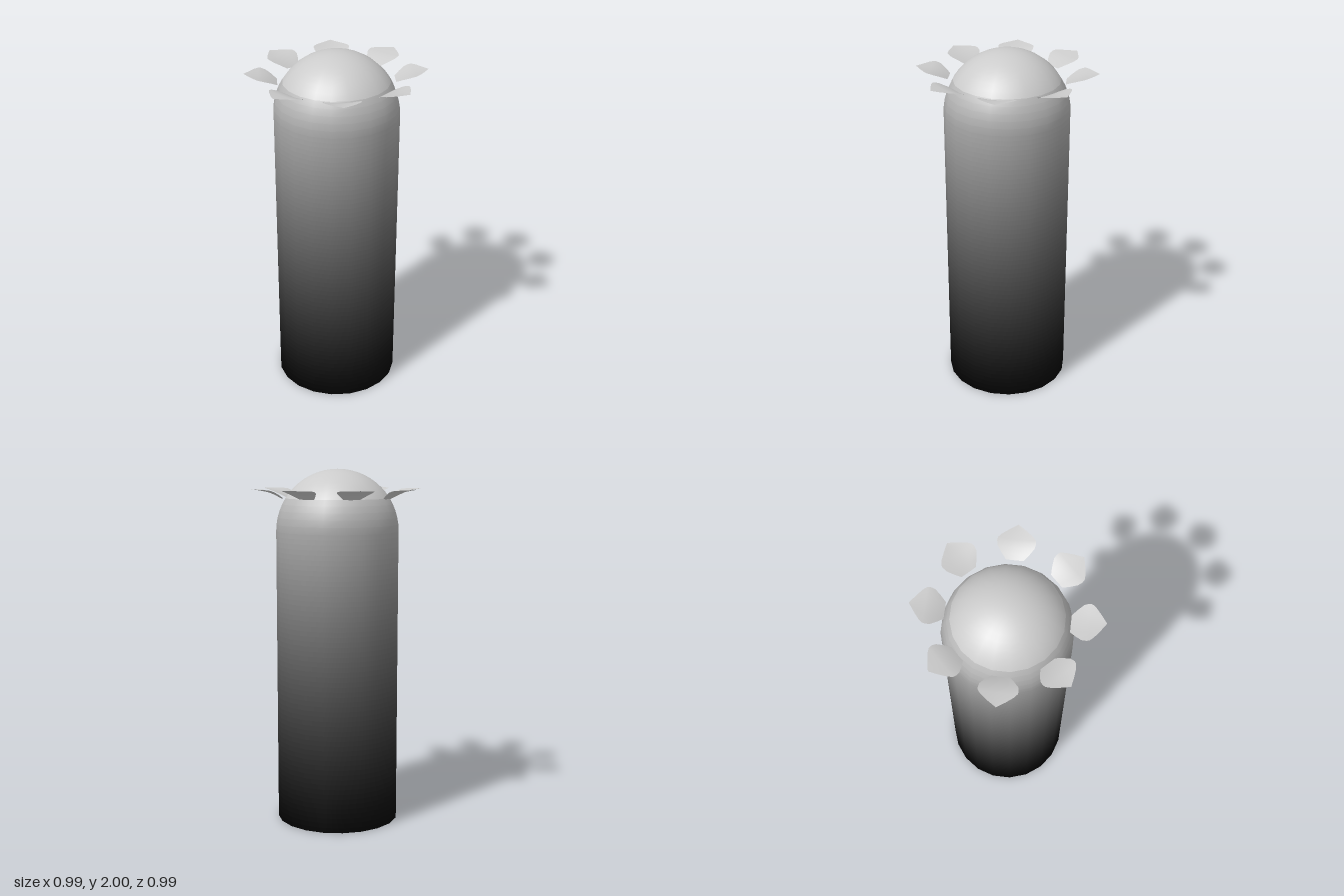
import * as THREE from 'three';

const R = 0.345, HEIGHT = 2, SHOULDER = HEIGHT - R;
const SIDES = 20, DOME_ROWS = 14, SHAFT_ROWS = 60, PETALS = 8;

// Grey that fades from black at the ground to light grey at the top
function fadedGrey(y) {
  const v = 0.8 * y / HEIGHT;
  const color = new THREE.Color().setRGB(v, v, v, THREE.SRGBColorSpace);
  return new THREE.MeshStandardMaterial({ color, side: THREE.DoubleSide });
}

// Radius, height and slope of the body outline at each row, from the top down
function outline(row) {
  if (row <= DOME_ROWS) {
    const a = (1 - row / DOME_ROWS) * Math.PI / 2;
    return { r: R * Math.cos(a), y: SHOULDER + R * Math.sin(a), a };
  }
  return { r: R, y: SHOULDER * (1 - (row - DOME_ROWS) / SHAFT_ROWS), a: 0 };
}

// Hollow tube with a hemispherical top, open below: a sheet rolled around y,
// with one shade per row
function makeBody() {
  const rows = DOME_ROWS + SHAFT_ROWS;
  const geo = new THREE.PlaneGeometry(1, 1, SIDES, rows);
  const pos = geo.attributes.position, normal = geo.attributes.normal;
  for (let i = 0; i < pos.count; i++) {
    const { r, y, a } = outline(Math.floor(i / (SIDES + 1)));
    const turn = (i % (SIDES + 1)) / SIDES * Math.PI * 2;
    const sin = Math.sin(turn), cos = Math.cos(turn);
    pos.setXYZ(i, r * sin, y, r * cos);
    normal.setXYZ(i, Math.cos(a) * sin, Math.sin(a), Math.cos(a) * cos);
  }
  const shades = [];
  for (let row = 0; row < rows; row++) {
    geo.addGroup(row * SIDES * 6, SIDES * 6, row);
    shades.push(fadedGrey((outline(row).y + outline(row + 1).y) / 2));
  }
  const body = new THREE.Mesh(geo, shades);
  body.name = 'body';
  return body;
}

// Thin curved petal: each row is [distance from axis, half width, height]
function petalGeometry() {
  const rows = [
    [0.317, 0.046, 1.838], [0.345, 0.072, 1.854], [0.375, 0.095, 1.867],
    [0.400, 0.100, 1.875], [0.415, 0.097, 1.878], [0.435, 0.080, 1.882],
    [0.465, 0.042, 1.887], [0.494, 0, 1.891],
  ];
  const cols = 4;
  const geo = new THREE.PlaneGeometry(2, 1, cols, rows.length - 1);
  const pos = geo.attributes.position;
  for (let i = 0; i < pos.count; i++) {
    const [z, halfWidth, y] = rows[Math.floor(i / (cols + 1))];
    const x = pos.getX(i) * halfWidth;
    pos.setXYZ(i, x, y + 0.9 * x * x, z); // edges cup slightly upward
  }
  // rows run outward, so reverse the corners to make the upper side the front
  geo.index.array.reverse();
  geo.computeVertexNormals();
  return geo;
}

export function createModel() {
  const model = new THREE.Group();
  model.name = 'petalledColumn';
  model.add(makeBody());

  // Ring of petals around the dome
  const crown = new THREE.Group();
  crown.name = 'petalRing';
  const petalGeo = petalGeometry(), petalGrey = fadedGrey(1.87);
  for (let i = 0; i < PETALS; i++) {
    const petal = new THREE.Mesh(petalGeo, petalGrey);
    petal.name = `petal${i + 1}`;
    petal.rotation.y = (i / PETALS) * Math.PI * 2;
    crown.add(petal);
  }
  model.add(crown);
  return model;
}
